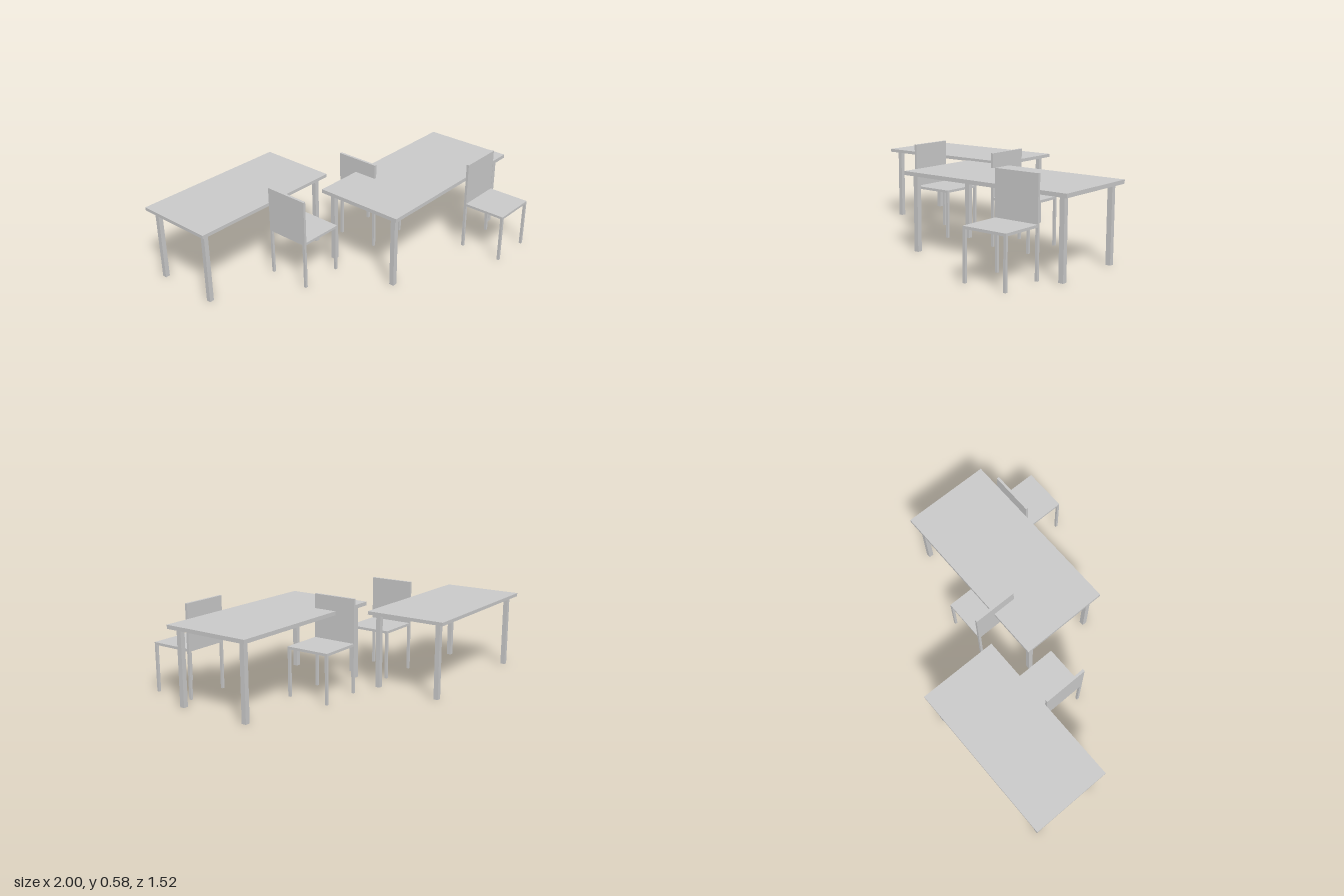
import * as THREE from 'three';

const grey = new THREE.MeshStandardMaterial({ color: 0xc8c8c8 });
grey.name = 'light grey';

// Box given by its minimum and maximum on each axis
function box(parent, name, [x0, x1], [y0, y1], [z0, z1]) {
  const mesh = new THREE.Mesh(new THREE.BoxGeometry(x1 - x0, y1 - y0, z1 - z0), grey);
  mesh.name = name;
  mesh.position.set((x0 + x1) / 2, (y0 + y1) / 2, (z0 + z1) / 2);
  parent.add(mesh);
}

// Four square legs centred at (+-dx, +-dz)
function legs(parent, name, dx, dz, height, width) {
  const h = width / 2;
  for (const x of [-dx, dx])
    for (const z of [-dz, dz])
      box(parent, name, [x - h, x + h], [0, height], [z - h, z + h]);
}

// Table with a thin overhanging top
function table(name, x, z, width, depth, under, top, inset, leg) {
  const group = new THREE.Group();
  group.name = name;
  box(group, 'tableTop', [-width / 2, width / 2], [under, top], [-depth / 2, depth / 2]);
  legs(group, 'tableLeg', width / 2 - inset, depth / 2 - inset, under, leg);
  group.position.set(x, 0, z);
  return group;
}

// Chair facing +z, with a straight back panel over the rear legs
function chair(name, x, z, turn) {
  const group = new THREE.Group();
  group.name = name;
  const s = 0.144, t = 0.016;
  box(group, 'seat', [-s, s], [0.295, 0.311], [-s, s]);
  box(group, 'backrest', [-s, s], [0.311, 0.584], [-s, -s + t]);
  legs(group, 'chairLeg', s - t / 2, s - t / 2, 0.295, t);
  group.position.set(x, 0, z);
  group.rotation.y = turn;
  return group;
}

export function createModel() {
  const model = new THREE.Group();
  model.name = 'tablesAndChairs';
  model.add(
    table('rearTable', -0.486, -0.502, 1.028, 0.514, 0.463, 0.484, 0.052, 0.029),
    table('frontTable', 0.42, 0.178, 1.16, 0.578, 0.469, 0.493, 0.053, 0.031),
    chair('rearTableChair', -0.341, -0.101, Math.PI / 2),
    chair('middleChair', 0.304, -0.101, Math.PI / 2),
    chair('frontChair', 0.69, 0.613, 0)
  );
  return model;
}
